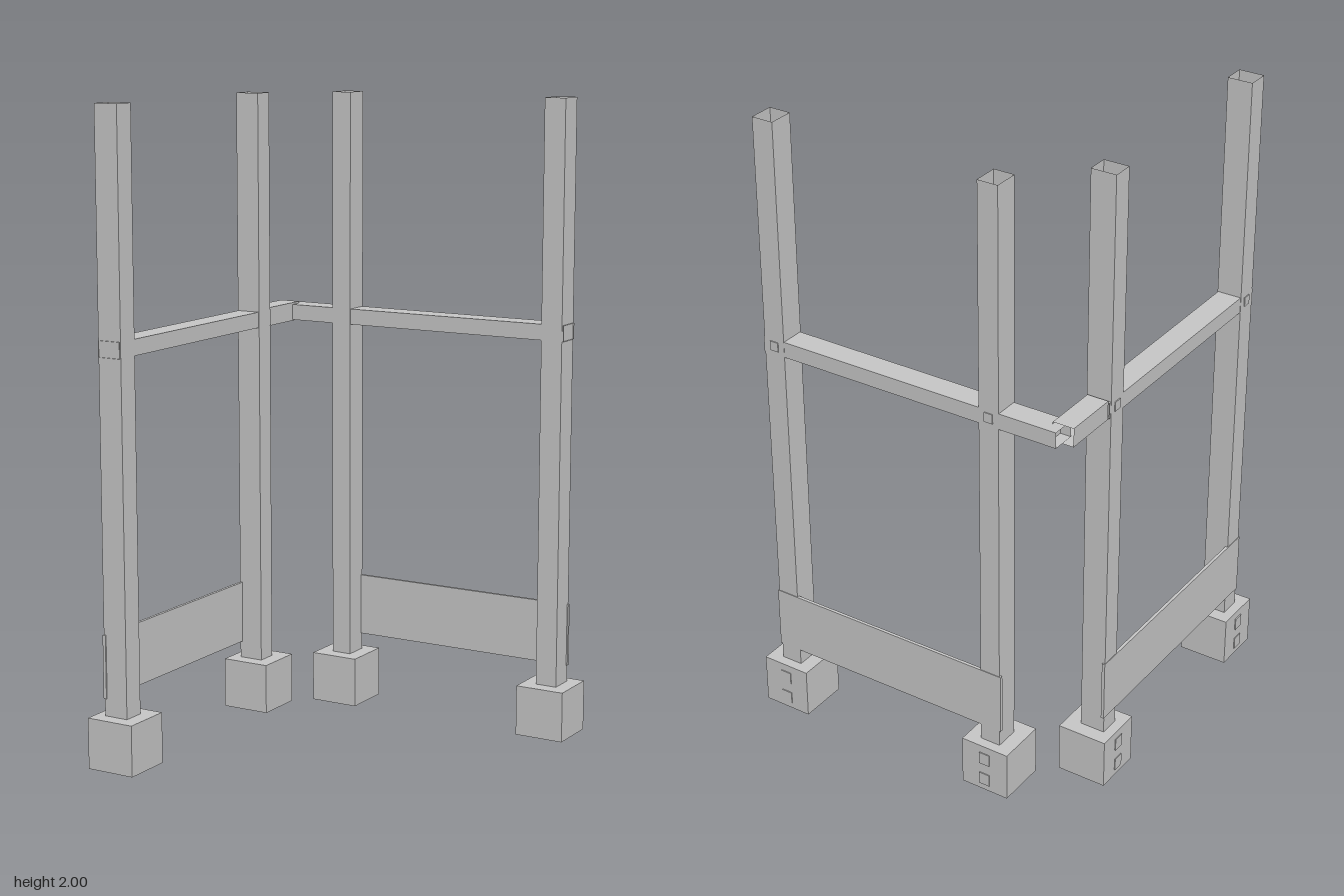
import * as THREE from 'three';

const steel = new THREE.MeshStandardMaterial({ color: 0xc8c8c8, side: THREE.DoubleSide });
steel.name = 'grey steel';

// Place a unit geometry between minimum and maximum corners
function place(name, geo, min, max) {
  geo.scale(...max.map((v, i) => v - min[i]));
  geo.translate(...max.map((v, i) => (v + min[i]) / 2));
  const mesh = new THREE.Mesh(geo, steel);
  mesh.name = name;
  return mesh;
}

// Solid box
function box(name, min, max) {
  return place(name, new THREE.BoxGeometry(1, 1, 1), min, max);
}

// Thin-walled square tube, open at both ends along the chosen axis
function tube(name, min, max, axis) {
  const geo = new THREE.CylinderGeometry(Math.SQRT1_2, Math.SQRT1_2, 1, 4, 1, true).toNonIndexed();
  geo.rotateY(Math.PI / 4);
  if (axis === 'x') geo.rotateZ(Math.PI / 2);
  if (axis === 'z') geo.rotateX(Math.PI / 2);
  geo.computeVertexNormals();
  return place(name, geo, min, max);
}

// One straight run along x: two posts in foot blocks, with a toe board
function createSide(name) {
  const side = new THREE.Group();
  side.name = name;
  for (const [x, half] of [[-0.264, 0.033], [0.486, 0.035]]) {
    side.add(box('footBlock', [x - 0.08, 0, -0.555], [x + 0.08, 0.16, -0.395]));
    side.add(tube('post', [x - half, 0.1, -0.523], [x + half, 2, -0.443], 'y'));
    // Bolt heads on the outer faces
    for (const y of [0.04, 0.115]) {
      side.add(box('footBolt', [x - 0.018, y - 0.02, -0.558], [x + 0.018, y + 0.02, -0.553]));
    }
    side.add(box('railBolt', [x - 0.014, 1.27, -0.526], [x + 0.014, 1.3, -0.521]));
  }
  side.add(box('toeBoard', [-0.302, 0.214, -0.525], [0.525, 0.413, -0.515]));
  return side;
}

export function createModel() {
  const model = new THREE.Group();
  model.name = 'cornerGuardRail';

  // Back run, its rail reaching the corner
  const back = createSide('backSide');
  back.add(tube('handRail', [-0.484, 1.258, -0.522], [0.525, 1.308, -0.445], 'x'));
  model.add(back);

  // Side run: the same bay with x and z swapped
  const right = createSide('rightSide');
  right.rotation.y = Math.PI / 2;
  right.scale.x = -1;
  model.add(right);

  // Side rail with the slimmer sleeve that joins the corner
  model.add(tube('sideHandRail', [-0.522, 1.258, -0.305], [-0.445, 1.308, 0.525], 'z'));
  model.add(tube('cornerSleeve', [-0.518, 1.255, -0.485], [-0.45, 1.314, -0.305], 'z'));
  return model;
}
